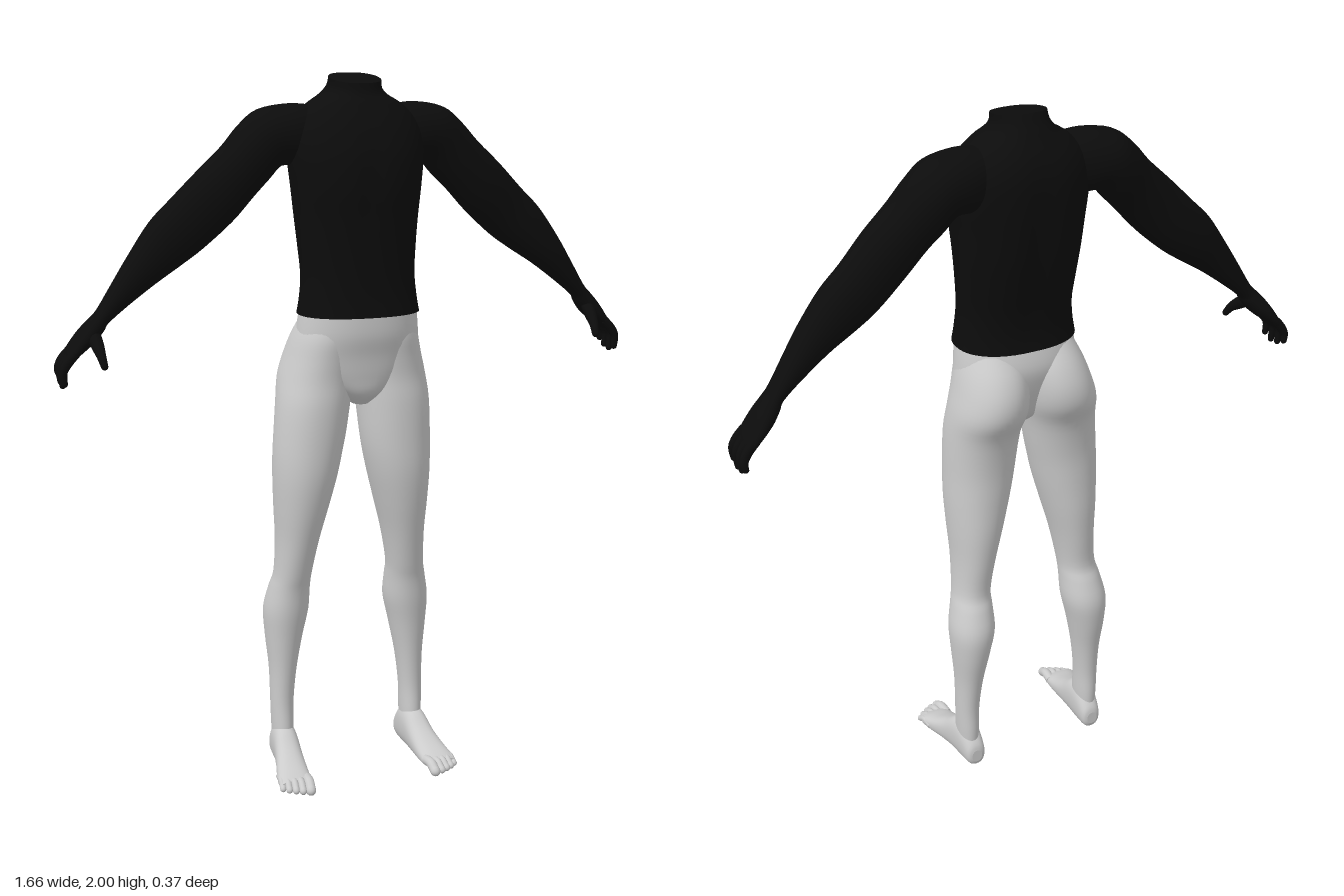
import * as THREE from 'three';

const V = (x, y, z) => new THREE.Vector3(x, y, z);

// Smoothly subdivide rows of numbers (Catmull-Rom per column)
function smoothRows(rows, steps) {
  const out = [], at = i => rows[Math.min(Math.max(i, 0), rows.length - 1)];
  for (let i = 0; i < rows.length - 1; i++) {
    const [p, q, r, s] = [at(i - 1), at(i), at(i + 1), at(i + 2)];
    for (let k = 0; k < steps; k++) {
      const t = k / steps;
      out.push(q.map((b, c) => {
        const m0 = (r[c] - p[c]) / 2, m1 = (s[c] - b) / 2, d = r[c] - b;
        return b + t * (m0 + t * (3 * d - 2 * m0 - m1 + t * (m0 + m1 - 2 * d)));
      }));
    }
  }
  out.push(rows[rows.length - 1]);
  return out;
}

// One closed superellipse ring around centre c with half axes u and v
function ring(c, u, v, n = 2, sides = 32) {
  const pw = t => Math.sign(t) * Math.pow(Math.abs(t), 2 / n);
  return Array.from({ length: sides }, (_, i) => {
    const a = i / sides * Math.PI * 2;
    return c.clone().addScaledVector(u, pw(Math.cos(a))).addScaledVector(v, pw(Math.sin(a)));
  });
}

// Skin a list of rings, close both ends and keep the faces outward
function loft(rings) {
  const n = rings[0].length, pts = rings.flat(), idx = [];
  for (let j = 0; j < rings.length - 1; j++) for (let i = 0; i < n; i++) {
    const a = j * n + i, b = j * n + (i + 1) % n;
    idx.push(a, b, a + n, b, b + n, a + n);
  }
  [[0, 1], [rings.length - 1, -1]].forEach(([j, dir]) => {
    const base = pts.length;
    const mid = rings[j].reduce((s, p) => s.add(p), V(0, 0, 0)).divideScalar(n);
    pts.push(mid, ...rings[j].map(p => p.clone()));
    for (let i = 0; i < n; i++) {
      const a = base + 1 + i, b = base + 1 + (i + 1) % n;
      idx.push(base, dir > 0 ? b : a, dir > 0 ? a : b);
    }
  });
  let volume = 0;
  for (let i = 0; i < idx.length; i += 3)
    volume += pts[idx[i]].dot(pts[idx[i + 1]].clone().cross(pts[idx[i + 2]]));
  if (volume < 0) idx.reverse();
  const g = new THREE.BufferGeometry().setFromPoints(pts);
  g.setIndex(idx);
  g.computeVertexNormals();
  return g;
}

// Round-ended digit along a path: rows of x, y, z, radius
function digit(rows) {
  const r = smoothRows(rows, 4), p = r.map(q => V(q[0], q[1], q[2]));
  const rings = r.map((q, i) => {
    const t = p[Math.min(i + 1, p.length - 1)].clone().sub(p[Math.max(i - 1, 0)]).normalize();
    const u = V(1, 0, 0).addScaledVector(t, -t.x).normalize();
    return ring(p[i], u.clone().multiplyScalar(q[3]), t.clone().cross(u).multiplyScalar(q[3]), 2, 12);
  });
  const end = p[p.length - 1], last = rings[rings.length - 1], rad = r[r.length - 1][3];
  const dir = end.clone().sub(p[p.length - 2]).normalize();
  [0.4, 0.8, 1.15, 1.5].forEach(a => rings.push(last.map(q =>
    q.clone().sub(end).multiplyScalar(Math.cos(a)).add(end).addScaledVector(dir, rad * Math.sin(a)))));
  return loft(rings);
}

// Horizontal section: outer x, inner x, front z, back z
const slice = (y, xo, xi, f, b, n) =>
  ring(V((xo + xi) / 2, y, (f + b) / 2), V((xo - xi) / 2, 0, 0), V(0, 0, (f - b) / 2), n, 48);

export function createModel() {
  const root = new THREE.Group();
  const skin = new THREE.MeshStandardMaterial({ color: 0xcccccc });
  const dark = new THREE.MeshStandardMaterial({ color: 0x0c0c0c });
  const add = (parent, name, geo, mat) => {
    const m = new THREE.Mesh(geo, mat);
    m.name = name;
    parent.add(m);
  };
  const bump = (x, w) => Math.exp(-((x / w) ** 2));

  // Torso with neck stump: y, half width, front, back
  const torso = smoothRows([
    [1.352, .173, .108, -.138], [1.4, .165, .102, -.132], [1.46, .16, .1, -.137],
    [1.54, .165, .102, -.155], [1.62, .172, .108, -.172], [1.7, .18, .117, -.182],
    [1.78, .188, .112, -.187], [1.84, .185, .095, -.185], [1.885, .165, .075, -.174],
    [1.92, .13, .055, -.157], [1.945, .09, .042, -.14], [1.965, .073, .036, -.125],
    [1.988, .07, .032, -.112]], 4)
    .map(([y, w, f, b]) => slice(y, w, -w, f, b, 2.3).map(p => {
      // spine groove, chest cleft and slanted neck rim
      if (p.z < -.06) p.z += .012 * bump(p.x, .035) * bump(y - 1.65, .2);
      if (p.z > .04) p.z -= .008 * bump(p.x, .025) * bump(y - 1.72, .1);
      p.y -= (p.z + .04) * .17 * THREE.MathUtils.smoothstep(y, 1.92, 1.985);
      return p;
    }));
  add(root, 'torso', loft(torso), dark);

  // Pelvis: y, half width, front, back
  const pelvis = smoothRows([
    [1.365, .166, .102, -.132], [1.3, .174, .1, -.145], [1.24, .175, .087, -.135],
    [1.18, .14, .078, -.115], [1.13, .075, .066, -.09], [1.095, .025, .03, -.05]], 5)
    .map(([y, w, f, b]) => slice(y, w, -w, f, b, 2.2));
  add(root, 'pelvis', loft(pelvis), skin);

  for (const s of [1, -1]) {
    const side = s > 0 ? 'left' : 'right';
    const arm = new THREE.Group(), leg = new THREE.Group();
    arm.name = side + 'ArmGroup';
    leg.name = side + 'LegGroup';
    root.add(arm, leg);

    // Arm and palm: upper edge x y, lower edge x y, centre z, half depth
    const armRings = smoothRows([
      [.1, 1.915, .1, 1.77, -.06, .07], [.18, 1.922, .155, 1.755, -.065, .085],
      [.265, 1.907, .205, 1.755, -.07, .088], [.32, 1.865, .24, 1.72, -.07, .082],
      [.37, 1.81, .285, 1.675, -.065, .074], [.44, 1.745, .345, 1.61, -.065, .067],
      [.51, 1.675, .425, 1.54, -.073, .06], [.57, 1.615, .49, 1.495, -.073, .057],
      [.63, 1.53, .56, 1.45, -.07, .05], [.68, 1.45, .635, 1.395, -.073, .042],
      [.72, 1.385, .69, 1.35, -.076, .037], [.745, 1.358, .702, 1.33, -.08, .041],
      [.773, 1.327, .728, 1.298, -.086, .051], [.8, 1.287, .765, 1.268, -.091, .055],
      [.813, 1.258, .788, 1.248, -.092, .05]], 4)
      .map(([ux, uy, lx, ly, z, d]) => ring(
        V(s * (ux + lx) / 2, (uy + ly) / 2, z),
        V(s * (ux - lx) / 2, (uy - ly) / 2, 0), V(0, 0, d), 2.1));
    add(arm, side + 'Arm', loft(armRings), dark);

    // Fingers, index to little
    [[-.049, -.046, 1.195], [-.077, -.077, 1.185], [-.105, -.108, 1.19], [-.131, -.138, 1.205]]
      .forEach(([z0, z1, tip], i) => add(arm, side + 'Finger' + (i + 1), digit([
        [s * .785, 1.275, z0, .013], [s * .808, 1.25, z0, .0135],
        [s * .821, 1.225, (z0 + z1) / 2, .0115], [s * .819, tip, z1, .009]]), dark));
    add(arm, side + 'Thumb', digit([
      [s * .735, 1.325, -.065, .02], [s * .73, 1.3, -.03, .018],
      [s * .726, 1.275, .002, .013], [s * .722, 1.25, .022, .01]]), dark);

    // The stance leans slightly to the right below the hips
    const lean = y => -.016 * THREE.MathUtils.clamp((1.36 - y) / .4, 0, 1);

    // Leg: y, outer x, inner x, front, back
    const legRings = smoothRows([
      [1.345, .155, .01, .07, -.12], [1.29, .178, -.004, .08, -.158],
      [1.23, .196, -.004, .076, -.18], [1.17, .212, .001, .074, -.178],
      [1.1, .222, .014, .08, -.147], [1, .228, .028, .082, -.132],
      [.9, .23, .048, .08, -.131], [.8, .226, .074, .065, -.131],
      [.7, .221, .1, .042, -.124], [.6, .225, .118, .018, -.117],
      [.55, .236, .12, .006, -.135], [.48, .249, .121, -.002, -.156],
      [.4, .245, .138, -.014, -.15], [.3, .236, .157, -.025, -.131],
      [.2, .234, .168, -.03, -.12], [.12, .232, .17, -.024, -.121],
      [.05, .228, .174, -.02, -.118]], 4)
      .map(([y, o, i, f, b]) => {
        const d = lean(y);
        return slice(y, s * o + d, s * i + d, f, b, 2.1);
      });
    add(leg, side + 'Leg', loft(legRings), skin);

    // Foot: z, centre x, half width, top, bottom
    const fx = x => s * x + lean(0);
    const foot = smoothRows([
      [-.134, .198, .016, .06, .02], [-.124, .198, .029, .085, .005],
      [-.08, .2, .036, .13, 0], [-.03, .203, .038, .125, 0], [.02, .208, .041, .09, 0],
      [.07, .215, .046, .062, 0], [.11, .22, .048, .046, .002], [.135, .222, .044, .034, .007]], 4)
      .map(([z, x, w, t, b]) => ring(V(fx(x), (t + b) / 2, z), V(w, 0, 0), V(0, (t - b) / 2, 0), 2.3));
    add(leg, side + 'Foot', loft(foot), skin);

    // Toes, big to little
    [[.187, .165, .0145], [.209, .162, .0105], [.227, .153, .01], [.244, .143, .0095], [.259, .13, .009]]
      .forEach(([x, z, r], i) => add(leg, side + 'Toe' + (i + 1), digit([
        [fx(x - .003), .026, z - .055, r], [fx(x), .029, z - .02, r],
        [fx(x + .002), .019, z, r], [fx(x + .003), .015, z + .008, r]]), skin));
  }
  return root;
}
